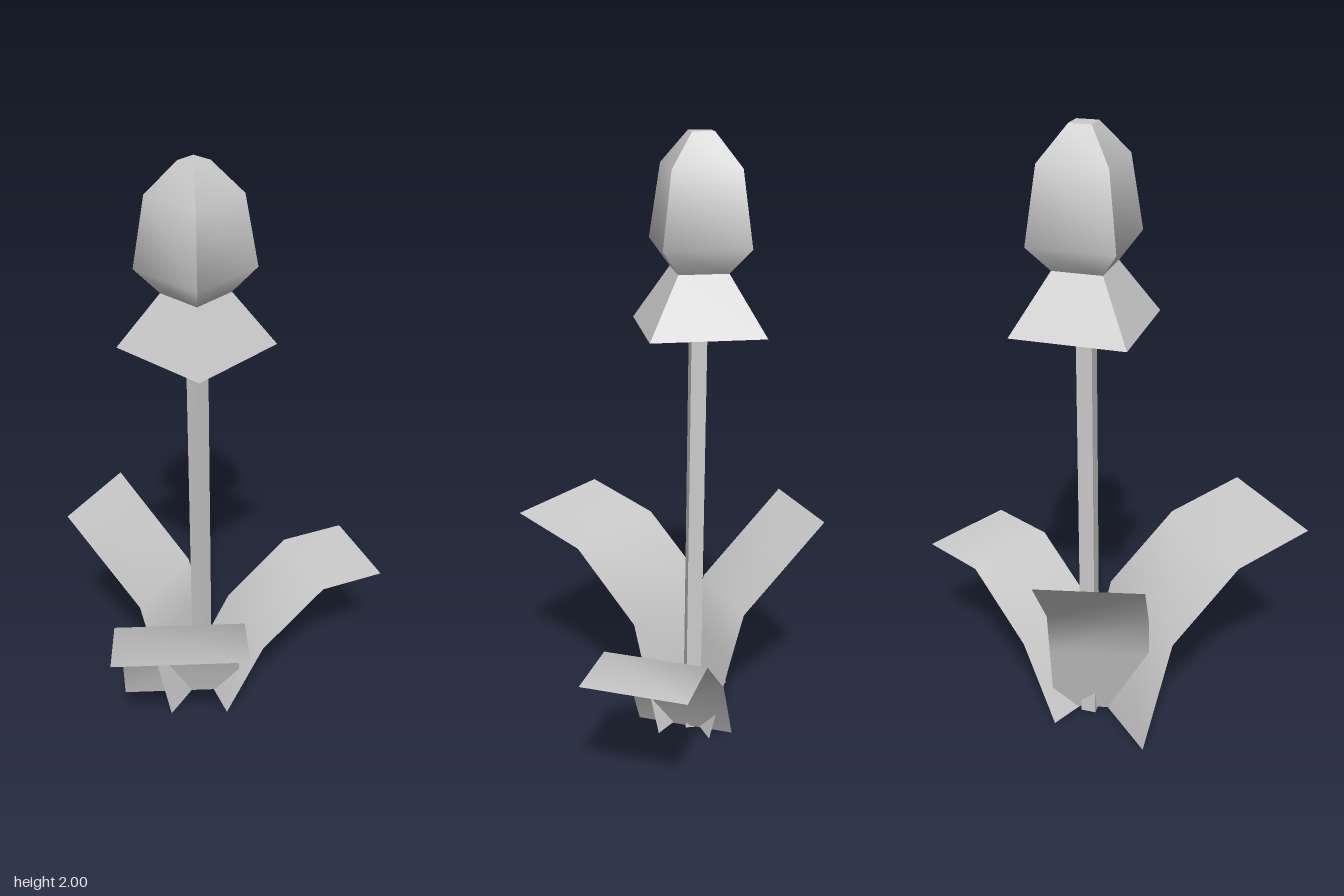
import * as THREE from 'three';
import { toCreasedNormals } from 'three/addons/utils/BufferGeometryUtils.js';

const STEM_X = -0.1, STEM_Z = -0.15;

function material(options = {}) {
  return new THREE.MeshStandardMaterial({ color: 0xcccccc, side: THREE.DoubleSide, ...options });
}

// Four-sided shell turned from a profile of [radius, height] pairs
function squareShell(name, profile) {
  const points = profile.map(([r, y]) => new THREE.Vector2(r, y));
  const geometry = toCreasedNormals(new THREE.LatheGeometry(points, 4), THREE.MathUtils.degToRad(50));
  const mesh = new THREE.Mesh(geometry, material());
  mesh.name = name;
  mesh.position.set(STEM_X, 0, STEM_Z);
  return mesh;
}

// Bent strip: profile holds [outward distance, height] from root to tip
function leaf(name, [x, z], [dx, dz], width, profile) {
  const geometry = new THREE.PlaneGeometry(width, 1, 1, profile.length - 1);
  const pos = geometry.attributes.position;
  for (let i = 0; i < pos.count; i++) {
    const [out, y] = profile[profile.length - 1 - Math.floor(i / 2)];
    pos.setY(i, y);
    pos.setZ(i, out);
  }
  geometry.computeVertexNormals();
  const mesh = new THREE.Mesh(geometry, material());
  mesh.name = name;
  mesh.position.set(x, 0, z);
  mesh.rotation.y = Math.atan2(dx, dz);
  return mesh;
}

export function createModel() {
  const flower = new THREE.Group();
  flower.name = 'flower';

  // Square stem, running up into the blossom
  const stem = new THREE.Mesh(
    new THREE.CylinderGeometry(0.035, 0.035, 1.59, 4, 1, true),
    material({ flatShading: true })
  );
  stem.name = 'stem';
  stem.position.set(STEM_X, 0.795, STEM_Z);
  flower.add(stem);

  // Blossom: open skirt below a closed bud
  flower.add(squareShell('petalSkirt', [[0.252, 1.41], [0.11, 1.59]]));
  flower.add(squareShell('bud', [[0.11, 1.59], [0.19, 1.67], [0.149, 1.9], [0.048, 2], [0, 2]]));

  // Three bent leaves around the foot of the stem
  flower.add(leaf('frontLeaf', [-0.178, -0.105], [0, 1], 0.42,
    [[0, 0.01], [0.105, 0.39], [0.345, 0.605], [0.61, 0.672]]));
  flower.add(leaf('leftLeaf', [-0.071, -0.143], [0.942, -0.334], 0.33,
    [[0, 0.005], [0.14, 0.26], [0.37, 0.46], [0.6, 0.465]]));
  flower.add(leaf('rightLeaf', [-0.13, -0.123], [-0.845, -0.534], 0.328,
    [[0, 0.01], [0.07, 0.285], [0.116, 0.455], [0.4, 0.745]]));

  return flower;
}
